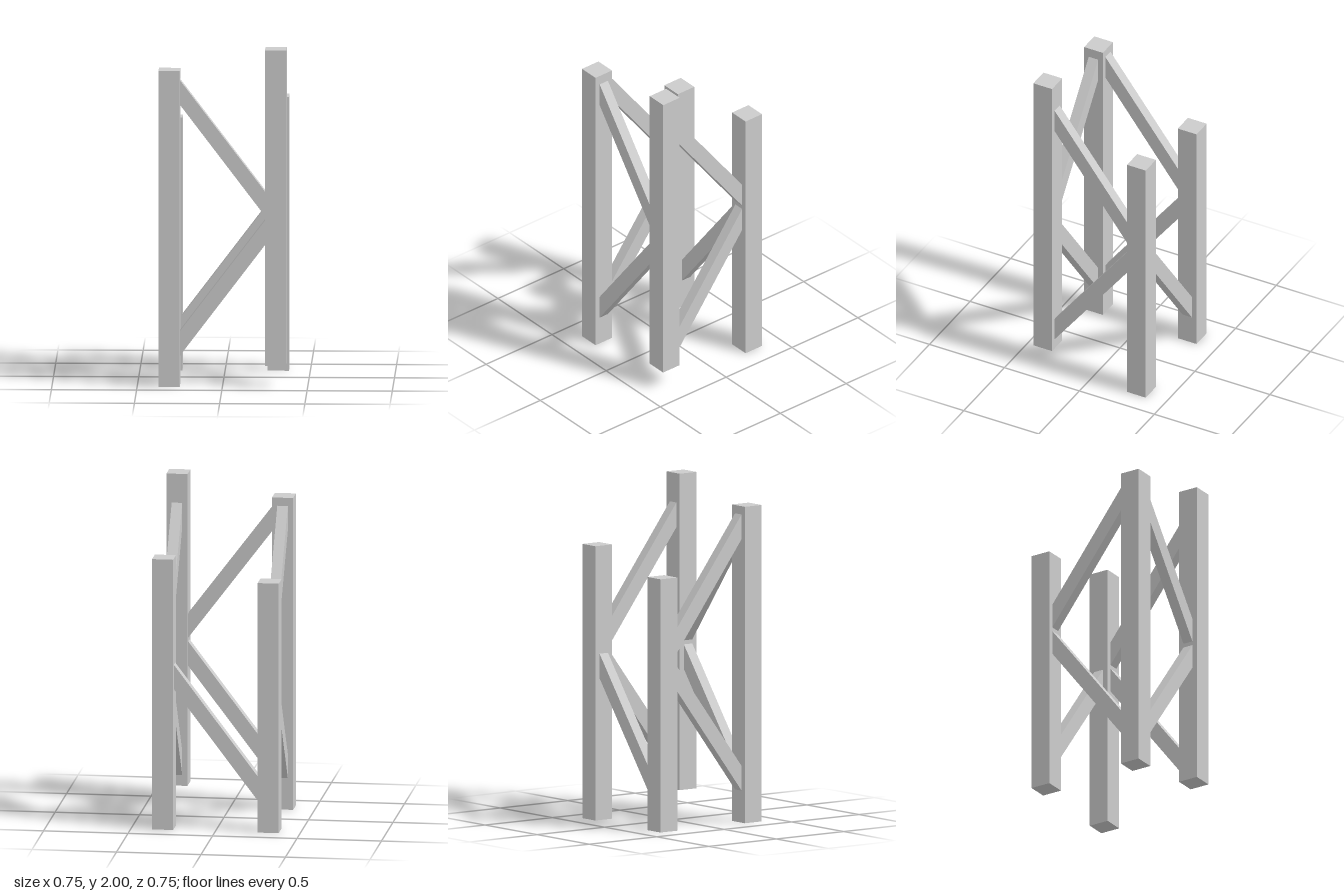
import * as THREE from 'three';

const POST = 0.125;    // post width
const OFFSET = 0.3125; // post centre from the middle
const GAP = 0.25;      // inner faces of the posts
const BRACE = 0.0625;  // brace depth
const BRACE_V = 0.146; // brace height, measured vertically

const material = new THREE.MeshStandardMaterial({ color: 0xcccccc, flatShading: true });

function addMesh(group, name, geometry) {
  const mesh = new THREE.Mesh(geometry, material);
  mesh.name = name;
  group.add(mesh);
  return mesh;
}

// Slanted bar with vertical ends, from (-GAP, y0) to (GAP, y1), lower edge heights
function braceGeometry(y0, y1) {
  const shape = new THREE.Shape([
    new THREE.Vector2(-GAP, y0),
    new THREE.Vector2(GAP, y1),
    new THREE.Vector2(GAP, y1 + BRACE_V),
    new THREE.Vector2(-GAP, y0 + BRACE_V),
  ]);
  return new THREE.ExtrudeGeometry(shape, { depth: BRACE, bevelEnabled: false })
    .translate(0, 0, -BRACE / 2);
}

export function createModel() {
  const group = new THREE.Group();
  group.name = 'bracedFrame';

  // Four posts of uneven height; the front left one is raised
  const posts = [
    ['frontLeftPost', 1, 1, 0.125, 2],
    ['frontRightPost', -1, 1, 0, 1.875],
    ['backLeftPost', 1, -1, 0, 1.625],
    ['backRightPost', -1, -1, 0, 1.5],
  ];
  for (const [name, sx, sz, bottom, top] of posts) {
    const post = addMesh(group, name, new THREE.BoxGeometry(POST, top - bottom, POST));
    post.position.set(sx * OFFSET, (top + bottom) / 2, sz * OFFSET);
  }

  // Front pair and single back brace, meeting the left posts at mid height
  addMesh(group, 'frontUpperBrace', braceGeometry(1.67, 1.01)).position.z = OFFSET;
  addMesh(group, 'frontLowerBrace', braceGeometry(0.18, 0.84)).position.z = OFFSET;
  addMesh(group, 'backLowerBrace', braceGeometry(0.18, 0.84)).position.z = -OFFSET;

  // Side pairs, meeting the back posts at mid height
  for (const [side, sx] of [['left', 1], ['right', -1]]) {
    for (const [level, back, front] of [['Upper', 1.02, 1.68], ['Lower', 0.85, 0.19]]) {
      const brace = addMesh(group, `${side}${level}Brace`, braceGeometry(back, front));
      brace.rotation.y = -Math.PI / 2;
      brace.position.x = sx * OFFSET;
    }
  }
  return group;
}
